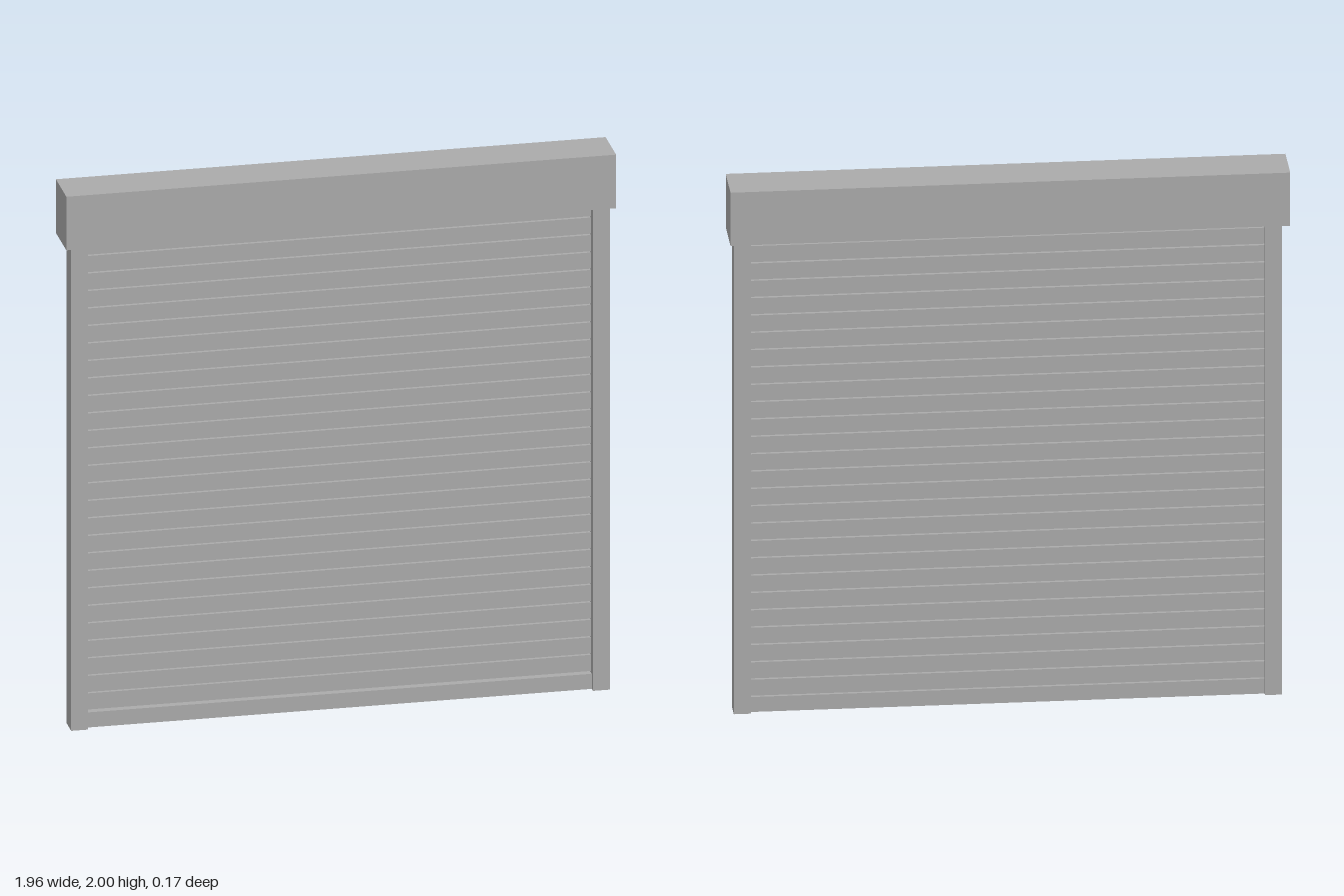
import * as THREE from 'three';

export function createModel() {
  const group = new THREE.Group();
  const grey = new THREE.MeshStandardMaterial({ color: 0xaaaaaa });
  grey.name = 'shutterGrey';

  // Box from its minimum and maximum corners
  const block = (name, [x0, y0, z0], [x1, y1, z1]) => {
    const mesh = new THREE.Mesh(new THREE.BoxGeometry(x1 - x0, y1 - y0, z1 - z0), grey);
    mesh.position.set((x0 + x1) / 2, (y0 + y1) / 2, (z0 + z1) / 2);
    mesh.name = name;
    group.add(mesh);
  };

  // Housing for the roll
  block('headBox', [-0.98, 1.8, -0.0875], [0.98, 2, 0.0875]);

  // Side guides
  block('leftGuideRail', [0.9, 0, 0], [0.96, 1.8, 0.075]);
  block('rightGuideRail', [-0.96, 0, 0], [-0.9, 1.8, 0.075]);

  // Thicker bar at the foot of the curtain
  const pitch = 0.0653, gap = 0.005, firstGap = 0.0588;
  block('bottomBar', [-0.9, 0, 0.015], [0.9, firstGap - gap / 2, 0.055]);

  // Curtain slats with narrow slits between them
  for (let i = 0; i < 27; i++) {
    const y = firstGap + i * pitch + gap / 2;
    block(`slat${i + 1}`, [-0.9, y, 0.015], [0.9, Math.min(y + pitch - gap, 1.8), 0.04]);
  }

  return group;
}
